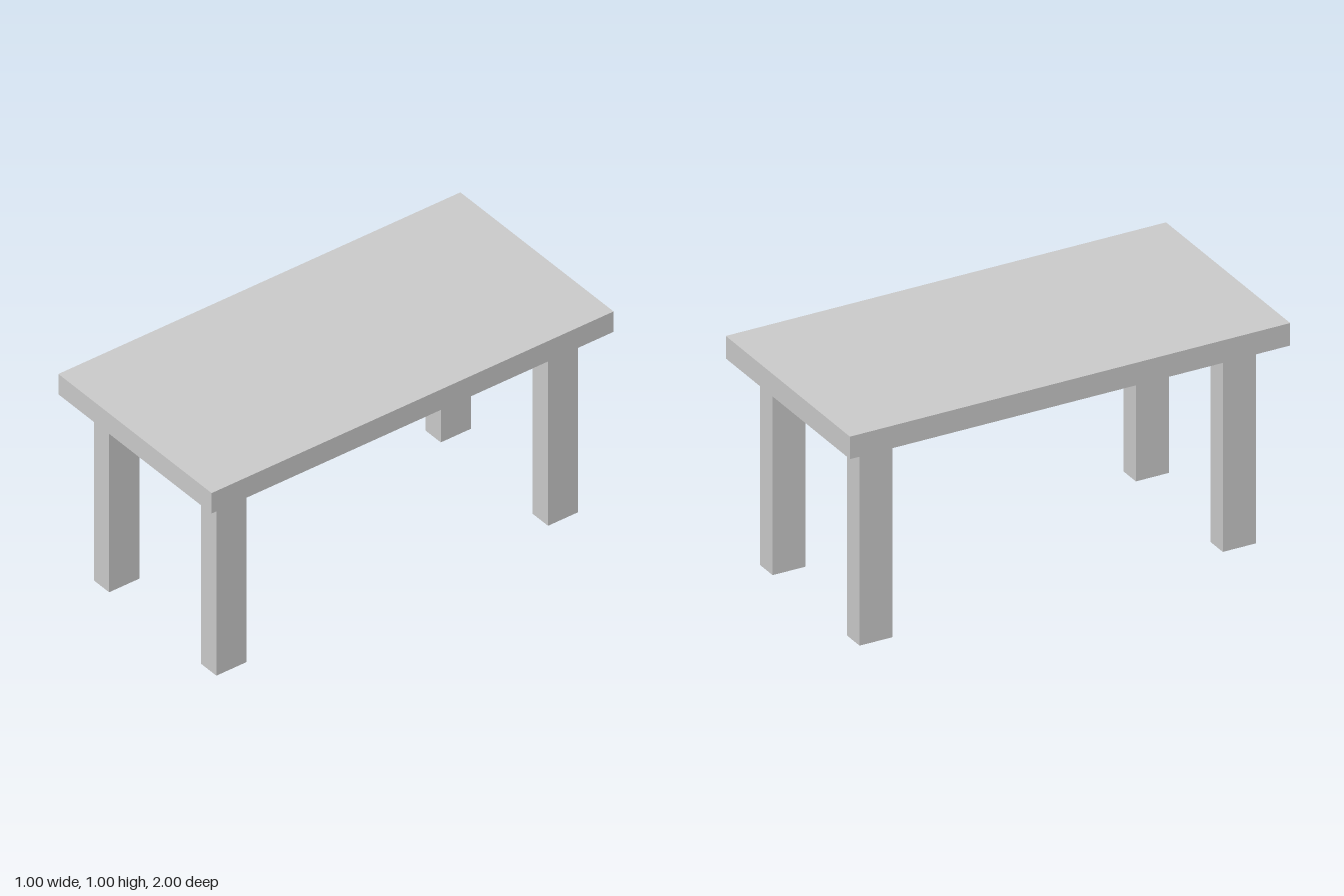
import * as THREE from 'three';

export function createModel() {
  const table = new THREE.Group();
  table.name = 'table';
  const material = new THREE.MeshStandardMaterial({ color: 0xcccccc });

  const addBox = (name, [w, h, d], [x, y, z]) => {
    const mesh = new THREE.Mesh(new THREE.BoxGeometry(w, h, d), material);
    mesh.name = name;
    mesh.position.set(x, y, z);
    table.add(mesh);
  };

  // Slab top
  addBox('tableTop', [1, 0.1, 2], [0, 0.95, 0]);

  // Four legs, set in from the corners
  for (const [end, sz] of [['front', 1], ['back', -1]]) {
    for (const [side, sx] of [['Left', 1], ['Right', -1]]) {
      addBox(`${end}${side}Leg`, [0.1, 0.9, 0.15], [sx * 0.35, 0.45, sz * 0.825]);
    }
  }

  return table;
}
